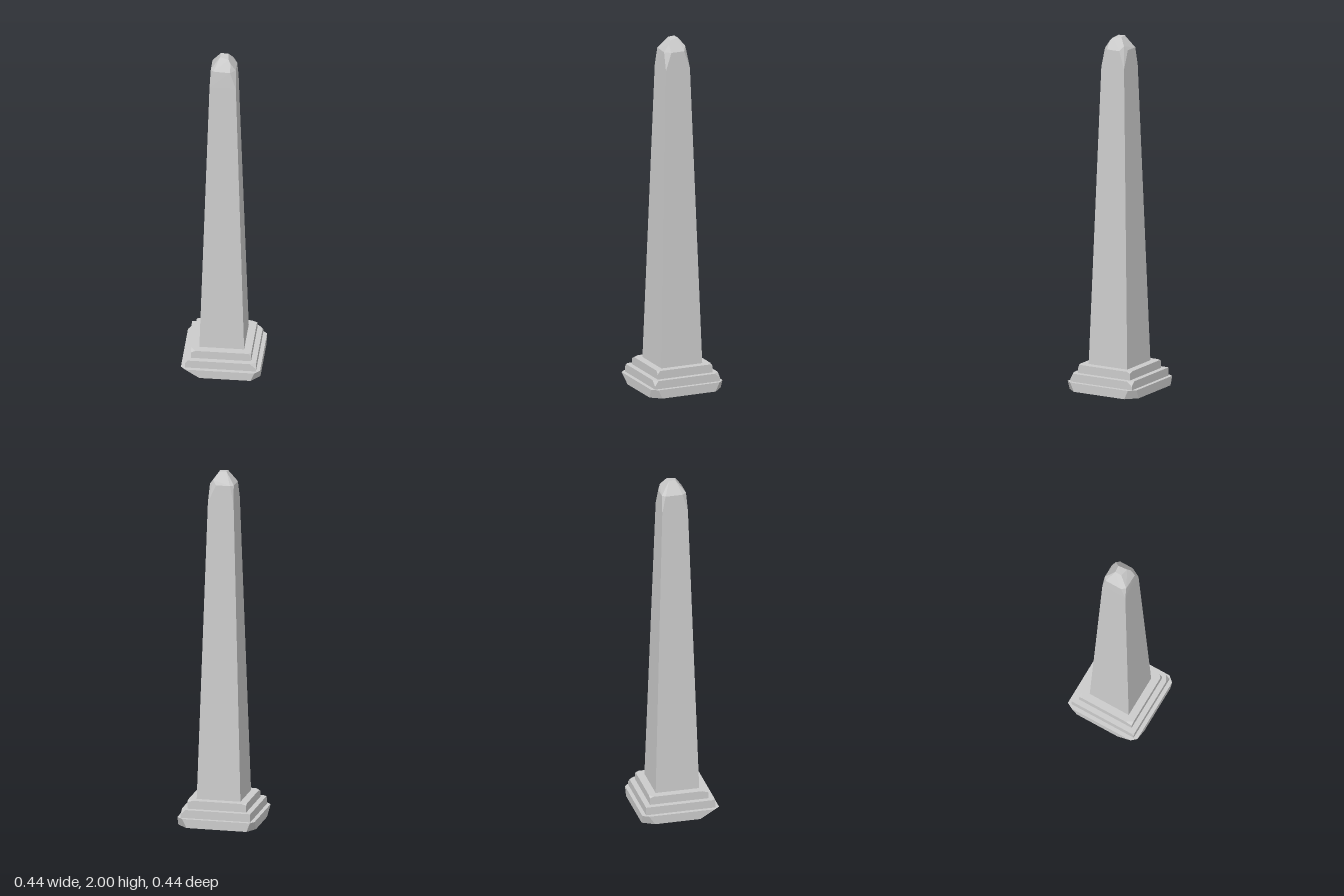
import * as THREE from 'three';
import { ConvexGeometry } from 'three/addons/geometries/ConvexGeometry.js';

const material = new THREE.MeshStandardMaterial({ color: 0xcccccc, flatShading: true });
const V = (x, y, z) => new THREE.Vector3(x, y, z);

// Every stone is a convex block, so a hull of its corners gives the facets
function stone(name, points) {
  const mesh = new THREE.Mesh(new ConvexGeometry(points), material);
  mesh.name = name;
  return mesh;
}

// The two points left where a corner of a square is cut off by dx and dz
const cut = (half, y, sx, sz, dx, dz) => [
  V(sx * (half - dx), y, sz * half),
  V(sx * half, y, sz * (half - dz)),
];

// Slab with chipped upper corners; chip: [sx, sz, dx, dz, depth]
function chippedSlab(name, half, y0, y1, chips) {
  const points = [];
  for (const [sx, sz, dx, dz, depth] of chips) {
    points.push(V(sx * half, y0, sz * half));
    if (depth) points.push(V(sx * half, y1 - depth, sz * half));
    points.push(...cut(half, y1, sx, sz, dx, dz));
  }
  return stone(name, points);
}

export function createModel() {
  const model = new THREE.Group();
  model.name = 'obelisk';

  // Bottom step: corners cut right through, wider at the ground
  const footing = [];
  for (const [sx, sz, dx, dz, spread] of [
    [-1, -1, 0.019, 0.034, 2],
    [1, -1, 0.035, 0.034, 1.7],
    [1, 1, 0.029, 0.033, 1.7],
    [-1, 1, 0.026, 0.028, 4],
  ]) {
    footing.push(...cut(0.219, 0.05, sx, sz, dx, dz));
    footing.push(...cut(0.219, 0, sx, sz, dx * spread, dz * spread));
  }
  model.add(stone('bottomStep', footing));

  // Middle and top steps
  model.add(chippedSlab('middleStep', 0.197, 0.05, 0.096, [
    [-1, -1, 0, 0, 0],
    [1, -1, 0.027, 0.032, 0.025],
    [1, 1, 0.034, 0.02, 0.03],
    [-1, 1, 0.016, 0.014, 0.02],
  ]));
  model.add(chippedSlab('topStep', 0.167, 0.096, 0.143, [
    [-1, -1, 0.027, 0.018, 0.008],
    [1, -1, 0.03, 0.02, 0.01],
    [1, 1, 0.016, 0.014, 0.02],
    [-1, 1, 0.025, 0.037, 0.012],
  ]));

  // Tapered shaft: square foot and the corners where the chipped tip begins
  const shaft = [];
  for (const sx of [-1, 1]) {
    for (const sz of [-1, 1]) {
      shaft.push(V(sx * 0.124, 0.143, sz * 0.124), V(sx * 0.073, 1.83, sz * 0.073));
    }
  }
  shaft.push(
    // back left chip
    V(-0.052, 1.93, -0.07), V(-0.037, 1.967, -0.041), V(-0.069, 1.93, -0.053),
    // back right chip
    V(0.028, 1.93, -0.07), V(0.046, 1.955, -0.056), V(0.069, 1.93, -0.04),
    // front right chip
    V(0.04, 1.93, 0.069), V(0.04, 1.972, 0.04), V(0.069, 1.93, 0.038),
    // front left chip
    V(-0.053, 1.933, 0.067), V(-0.069, 1.93, 0.043),
    // blunt top
    V(-0.02, 2, -0.021), V(0.021, 1.997, -0.025), V(0.028, 1.99, 0.027), V(-0.02, 1.997, 0.017),
  );
  model.add(stone('shaft', shaft));

  return model;
}
